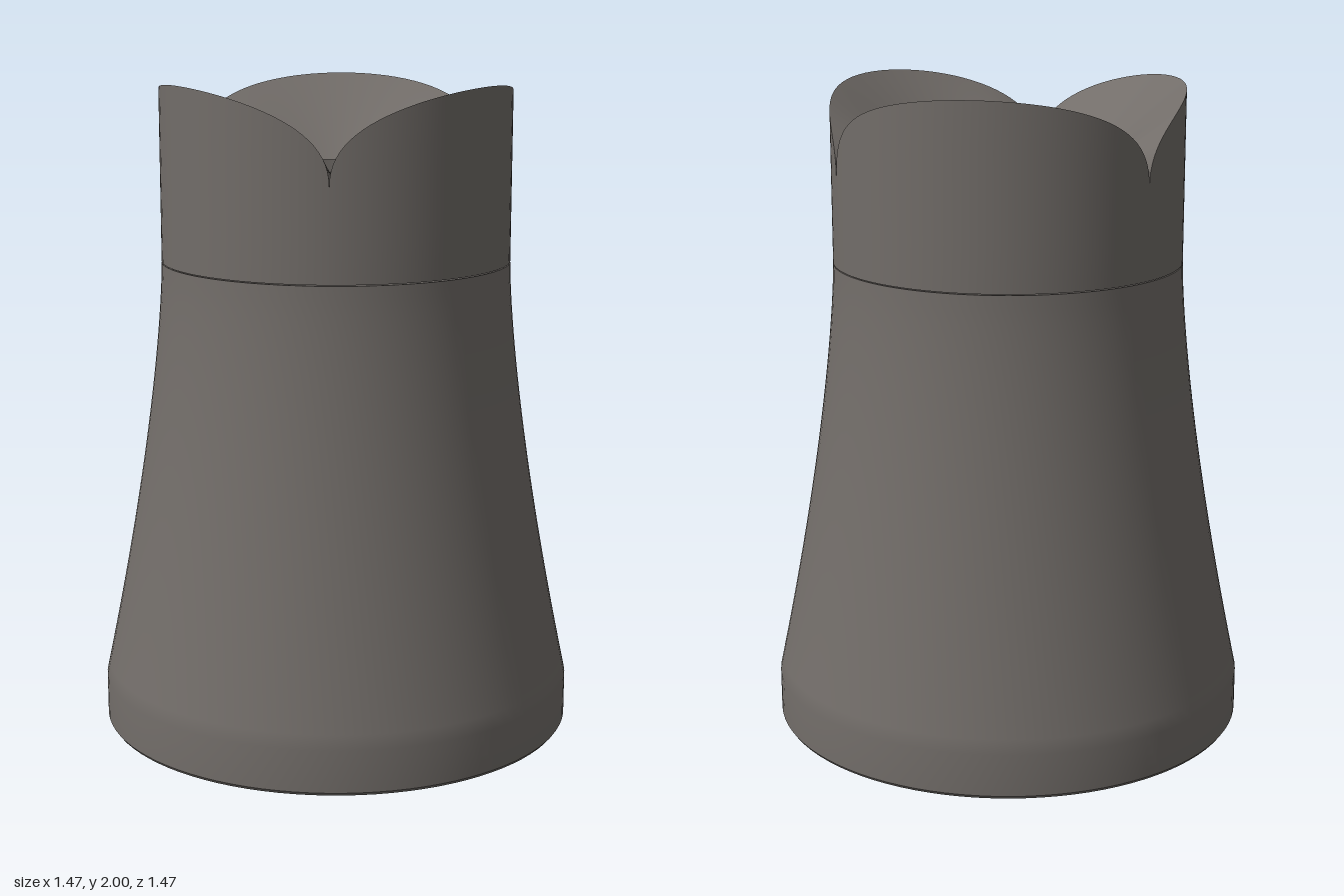
import * as THREE from 'three';

const SEG = 96, PETALS = 3, ARC = (Math.PI * 2) / PETALS;
const R = 0.537, FOOT = 0.735, FOOT_TOP = 0.14, WALL = 0.072, EDGE = 0.006;
const HOLE = 0.248, SEAM = 1.455, GAP = 0.003, RING = 1.74, NOTCH = 1.73;

const stone = new THREE.MeshStandardMaterial({ color: 0x726d69 });
stone.name = 'warm grey';

function add(group, name, geometry) {
  const mesh = new THREE.Mesh(geometry, stone);
  mesh.name = name;
  group.add(mesh);
}

// Revolved surface; the profile runs counterclockwise around the solid section
function lathe(group, name, points) {
  add(group, name, new THREE.LatheGeometry(points.map(([r, y]) => new THREE.Vector2(r, y)), SEG));
}

// Smooth grid surface from a rule f(u, v) -> [x, y, z]
function grid(f, nu, nv) {
  const pos = [], index = [];
  for (let j = 0; j <= nv; j++) {
    for (let i = 0; i <= nu; i++) {
      pos.push(...f(i / nu, j / nv));
      if (i < nu && j < nv) {
        const a = j * (nu + 1) + i, b = a + nu + 1;
        index.push(a, a + 1, b + 1, a, b + 1, b);
      }
    }
  }
  const g = new THREE.BufferGeometry();
  g.setAttribute('position', new THREE.Float32BufferAttribute(pos, 3));
  g.setIndex(index);
  g.computeVertexNormals();
  return g;
}

const polar = (r, a, y) => [r * Math.sin(a), y, r * Math.cos(a)];

export function createModel() {
  const model = new THREE.Group();
  model.name = 'flaredTower';

  // Flared hollow body with a short straight foot; its wall thins towards the seam
  const flare = [], inside = [];
  for (let i = 0; i <= 30; i++) {
    const t = 1 - i / 30;
    const r = R + (FOOT - R) * t ** 1.45, y = SEAM - (SEAM - FOOT_TOP) * t;
    flare.push([r, y]);
    inside.unshift([r - EDGE - (WALL - EDGE) * t ** 1.5, y]);
  }
  const body = new THREE.Group();
  body.name = 'body';
  lathe(body, 'footUnderside', [[FOOT - WALL, 0], [FOOT - 0.007, 0]]);
  lathe(body, 'footBevel', [[FOOT - 0.007, 0], [FOOT, 0.01]]);
  lathe(body, 'footAndFlare', [[FOOT, 0.01], ...flare]);
  lathe(body, 'bodyTopEdge', [[R, SEAM], [R - EDGE, SEAM]]);
  lathe(body, 'bodyInside', [...inside, [FOOT - WALL, 0]]);
  model.add(body);

  // Collar with a conical underside, parted from the body by a hairline gap
  const base = SEAM + GAP;
  const collar = new THREE.Group();
  collar.name = 'collar';
  lathe(collar, 'holeLip', [[HOLE, RING], [HOLE, 1.7]]);
  lathe(collar, 'conicalCeiling', [[HOLE, 1.7], [R - EDGE, base]]);
  lathe(collar, 'collarBottomEdge', [[R - EDGE, base], [R, base]]);

  // Three scalloped petals: rounded rims sloping in to the round hole
  for (let k = 0; k < PETALS; k++) {
    const angle = u => ARC * (k + (1 - Math.cos(Math.PI * u)) / 2);
    const rim = u => NOTCH + (2 - NOTCH) * Math.max(0, Math.sin(Math.PI * u)) ** 0.85;
    add(collar, 'petalWall', grid((u, v) =>
      polar(R, angle(u), THREE.MathUtils.lerp(base, rim(u), v)), 48, 4));
    add(collar, 'petalSlope', grid((u, v) =>
      polar(THREE.MathUtils.lerp(R, HOLE, v), angle(u), THREE.MathUtils.lerp(rim(u), RING, v)), 48, 10));
  }
  model.add(collar);
  return model;
}
